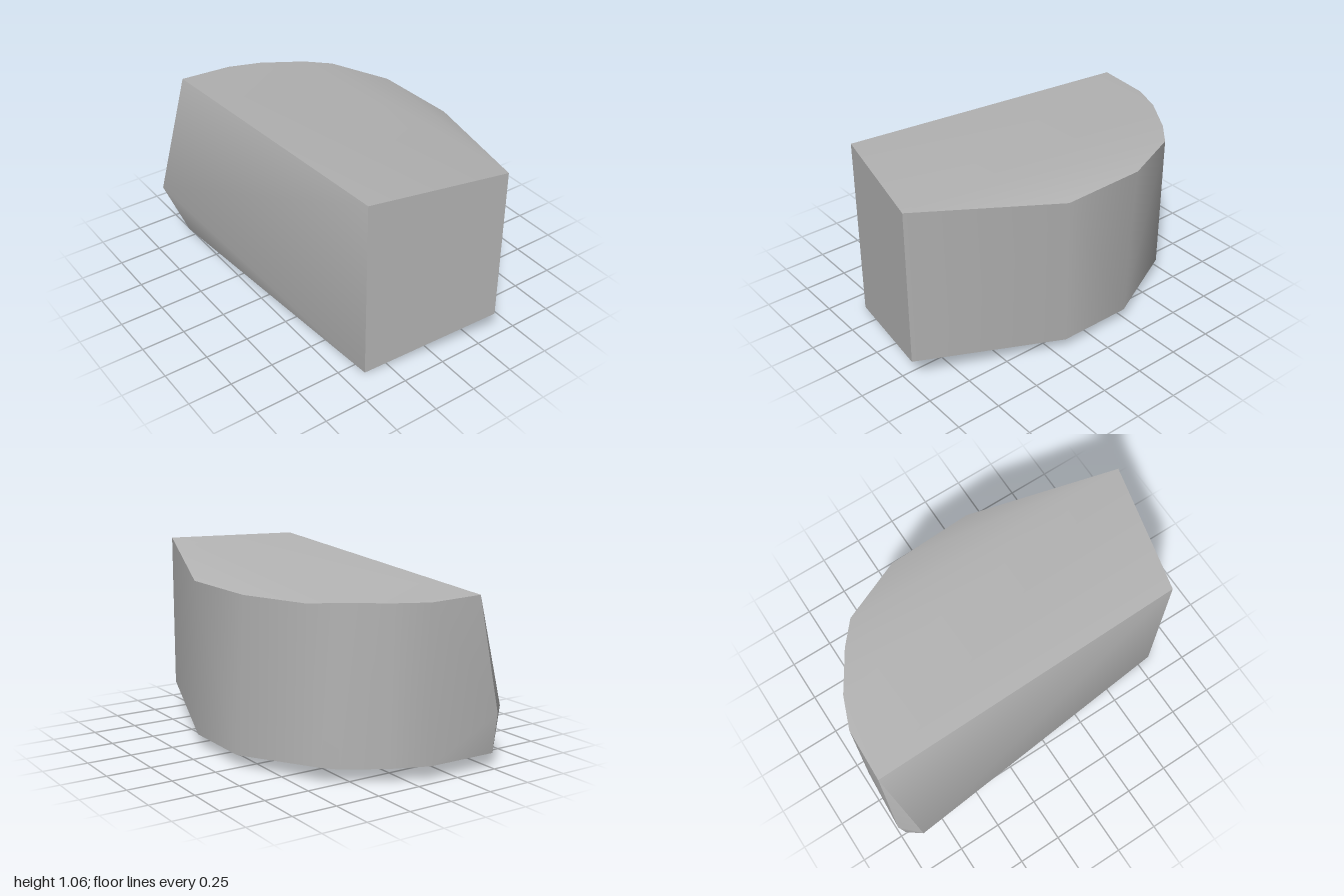
import * as THREE from 'three';
import { toCreasedNormals } from 'three/addons/utils/BufferGeometryUtils.js';
import { ConvexGeometry } from 'three/addons/geometries/ConvexGeometry.js';

// upper rim: straight front edge, square end at +x, rounded back and -x side
const upperRim = [
  [0.83, 1.06, 0.385], [1, 1.06, -0.35], [0.19, 0.933, -0.62],
  [-0.3, 0.928, -0.6], [-0.65, 0.924, -0.45], [-0.76, 0.93, -0.32],
  [-0.9, 0.928, -0.1], [-0.97, 0.925, 0.08], [-0.98, 0.935, 0.385],
];

// lower rim, dipping towards the front corner
const lowerRim = [
  [0.83, 0, 0.385], [1, 0.16, -0.35], [0.19, 0.07, -0.62],
  [-0.24, 0.066, -0.615], [-0.7, 0.088, -0.4], [-0.76, 0.08, -0.32],
  [-0.89, 0.08, -0.1], [-0.97, 0.08, 0.1], [-0.97, 0.078, 0.51], [-0.75, 0.057, 0.54],
];

// bulge at the front corner on the -x side
const cornerBulge = [[-1, 0.3, 0.51], [-0.9, 0.305, 0.615]];

export function createModel() {
  const group = new THREE.Group();
  group.name = 'stoneBlock';

  const stone = new THREE.MeshStandardMaterial({ color: 0xb4b4b4 });
  stone.name = 'stone grey';

  // faceted block with soft shading across the shallow edges
  const points = [...upperRim, ...lowerRim, ...cornerBulge].map((p) => new THREE.Vector3(...p));
  const body = new THREE.Mesh(toCreasedNormals(new ConvexGeometry(points), 0.75), stone);
  body.name = 'body';
  group.add(body);
  return group;
}
